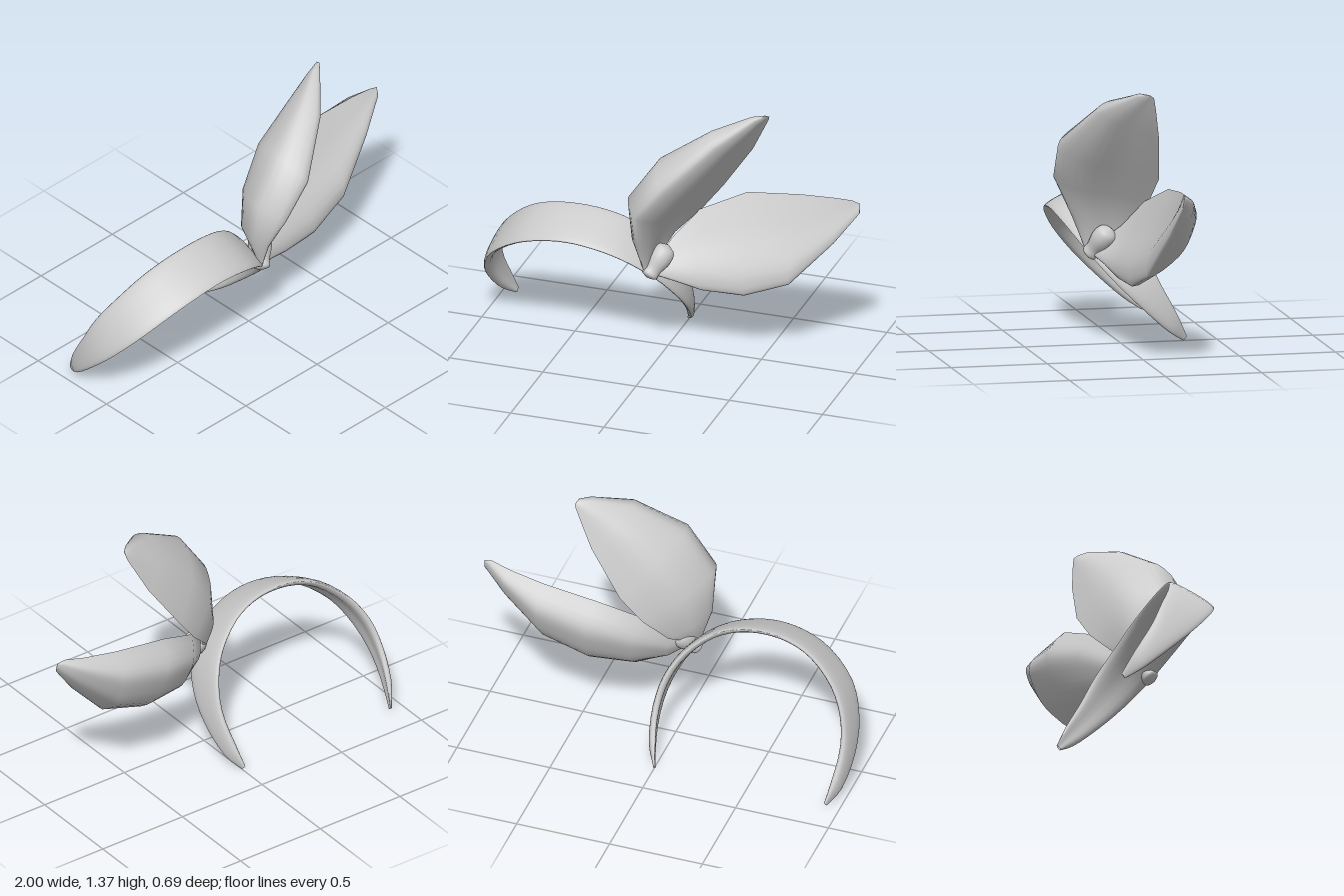
import * as THREE from 'three';

const V = (p) => new THREE.Vector3(...p);
const material = new THREE.MeshStandardMaterial({ color: 0xcccccc, side: THREE.DoubleSide });

// Skin over a row of sections; each section is a smooth curve through a few points
function loft(name, sections, closed, cols) {
  const pos = [], index = [];
  sections.forEach((section, i) => {
    new THREE.CatmullRomCurve3(section, closed).getPoints(cols).forEach((p, j) => {
      pos.push(p.x, p.y, p.z);
      if (i && j) {
        const d = i * (cols + 1) + j, b = d - cols - 1;
        index.push(b - 1, b, d - 1, b, d, d - 1);
      }
    });
  });
  const g = new THREE.BufferGeometry();
  g.setAttribute('position', new THREE.Float32BufferAttribute(pos, 3));
  g.setIndex(index);
  g.computeVertexNormals();
  const mesh = new THREE.Mesh(g, material);
  mesh.name = name;
  return mesh;
}

// Petal: full back that rolls round one edge into a flat front, crisp at the other edge
function petal(name, rolled, back, crisp) {
  const sections = rolled.map((r, i) => {
    const a = V(r), m = V(back[i]), b = V(crisp[i]);
    const depth = m.clone().sub(a.clone().lerp(b, 0.5));
    const at = (t, k) => a.clone().lerp(b, t).addScaledVector(depth, k);
    return [b, at(0.76, 0.85), m, at(0.24, 0.85), a, at(0.2, -0.28), at(0.6, -0.1), b.clone()];
  });
  return loft(name, sections, false, 28);
}

// Tilted arch band, widest at the top and tapering to both tips
function headband() {
  const cx = -0.465;
  const frontHalf = [[.462, 0, -.325], [.505, .055, -.24], [.53, .18, -.1], [.51, .31, .03],
    [.435, .445, .145], [.285, .56, .225], [.14, .613, .257], [0, .63, .265]];
  const rearHalf = [[.46, .022, -.345], [.495, .15, -.283], [.505, .3, -.2], [.475, .44, -.135],
    [.4, .56, -.07], [.27, .67, -.015], [.14, .72, .012], [0, .735, .02]];
  const rail = (half) => {
    const right = half.slice(0, -1).reverse().map(([x, y, z]) => [-x, y, z]);
    return new THREE.CatmullRomCurve3([...half, ...right].map(([x, y, z]) => V([x + cx, y, z])))
      .getPoints(42);
  };
  const A = rail(frontHalf), B = rail(rearHalf);
  const sections = A.map((a, i) => {
    const b = B[i];
    const out = new THREE.Vector3((a.x + b.x) / 2 - cx, (a.y + b.y) / 2 - 0.25, 0).normalize();
    const k = Math.min(1, a.distanceTo(b) / 0.1);
    const at = (t, offset) => a.clone().lerp(b, t).addScaledVector(out, offset * k);
    return [a, at(0.1, 0.012), at(0.5, 0.018), at(0.9, 0.012),
      b, at(0.9, -0.02), at(0.5, -0.016), at(0.1, -0.02)];
  });
  return loft('headband', sections, true, 24);
}

export function createModel() {
  const model = new THREE.Group();
  model.add(headband());

  model.add(petal('upperPetal',
    [[-.07, .47, .165], [-.09, .65, .235], [-.07, .86, .335], [.075, 1.045, .345],
      [.305, 1.255, .2], [.47, 1.355, .03], [.515, 1.365, -.02], [.525, 1.35, -.05]],
    [[-.07, .49, .14], [-.12, .68, .1], [-.105, .9, .1], [.045, 1.12, .08],
      [.285, 1.28, .04], [.45, 1.345, -.02], [.51, 1.355, -.04], [.525, 1.35, -.05]],
    [[-.05, .49, .13], [.02, .62, -.05], [.14, .74, -.11], [.25, .88, -.14],
      [.42, 1.13, -.1], [.49, 1.27, -.07], [.52, 1.33, -.055], [.525, 1.35, -.05]]));

  model.add(petal('lowerPetal',
    [[-.04, .47, .155], [.06, .42, .1], [.2, .37, .06], [.42, .365, .04],
      [.65, .45, .01], [.87, .69, -.05], [.995, .86, -.09], [.995, .91, -.1]],
    [[-.04, .48, .13], [.05, .49, 0], [.2, .55, -.14], [.42, .6, -.215],
      [.67, .67, -.215], [.87, .81, -.17], [.98, .89, -.115], [.995, .91, -.1]],
    [[-.04, .5, .13], [.02, .61, 0], [.14, .75, -.09], [.37, .85, -.16],
      [.66, .885, -.155], [.85, .907, -.13], [.95, .92, -.105], [.995, .91, -.1]]));

  // Knot gathering both petals over the band, pinched below its fuller top
  const profile = [[0, -.1], [.043, -.085], [.045, -.045], [.06, .02], [.05, .075], [0, .1]];
  const points = new THREE.SplineCurve(profile.map((p) => new THREE.Vector2(...p))).getPoints(20);
  points.forEach((p) => { p.x = Math.max(0, p.x); });
  const knot = new THREE.Mesh(new THREE.LatheGeometry(points, 16), material);
  knot.name = 'knot';
  knot.position.set(-0.02, 0.52, 0.105);
  knot.quaternion.setFromUnitVectors(V([0, 1, 0]), V([0.08, 0.15, -0.1]).normalize());
  model.add(knot);
  return model;
}
